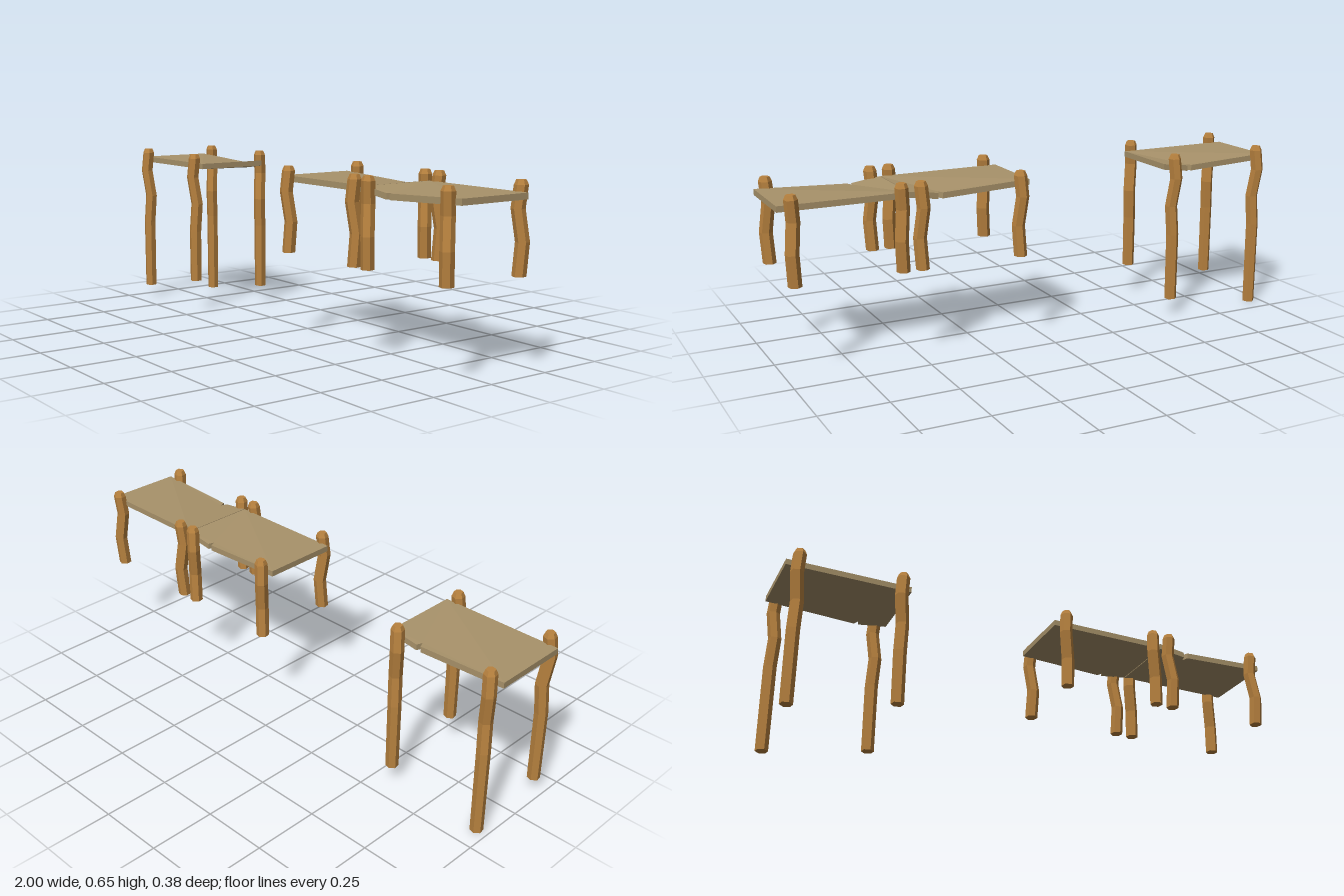
import * as THREE from 'three';

const legMat = new THREE.MeshStandardMaterial({ color: 0xb8823f, flatShading: true });
const deckMat = new THREE.MeshStandardMaterial({ color: 0xa8926a, flatShading: true });

// Six-sided post: rings of [height, radius, sideways bend], flat at both ends
function makeLeg(bottom, bendZ) {
  const rings = [
    [0.65, 0.017, 0],
    [0.633, 0.0245, 0],
    [0.555, 0.0245, 0.006],
    [0.445, 0.0245, -0.006],
    [0.33, 0.0245, 0],
  ];
  if (bottom < 0.33) rings.push([bottom, 0.0235, 0]);
  const n = rings.length - 1;
  const geo = new THREE.CylinderGeometry(1, 1, 1, 6, n);
  geo.rotateY(0.2);
  const p = geo.attributes.position;
  for (let i = 0; i < p.count; i++) {
    const [y, r, bend] = rings[Math.round((0.5 - p.getY(i)) * n)];
    p.setXYZ(i, p.getX(i) * r - bend, y, p.getZ(i) * r + bend * bendZ);
  }
  geo.computeVertexNormals();
  return new THREE.Mesh(geo, legMat);
}

// Thin plank with a small notch in its back edge, sagging at the notch
function makeDeck() {
  const notchX = 0.118;
  const outline = [
    [-0.235, -0.146], [notchX - 0.01, -0.146], [notchX, -0.123], [notchX + 0.007, -0.146],
    [0.235, -0.146], [0.235, 0.146], [-0.235, 0.146],
  ];
  const shape = new THREE.Shape(outline.map(([x, z]) => new THREE.Vector2(x, z)));
  const geo = new THREE.ExtrudeGeometry(shape, { depth: 0.022, bevelEnabled: false });
  geo.rotateX(Math.PI / 2).translate(0, 0.612, 0);
  const p = geo.attributes.position;
  for (let i = 0; i < p.count; i++) {
    if (Math.abs(p.getX(i) - notchX) < 0.02 && p.getZ(i) < -0.1) p.setY(i, p.getY(i) - 0.015);
  }
  geo.computeVertexNormals();
  const deck = new THREE.Mesh(geo, deckMat);
  deck.name = 'deck';
  return deck;
}

// One platform section; bottoms are leg ends: front -x, front +x, back -x, back +x
function makeSection(name, x, bottoms, turned) {
  const section = new THREE.Group();
  section.name = name;
  section.position.x = x;
  const deck = makeDeck();
  if (turned) deck.rotation.y = Math.PI;
  section.add(deck);
  const legX = turned ? [-0.203, 0.189] : [-0.191, 0.197];
  [1, -1].forEach((side, row) => legX.forEach((lx, col) => {
    const leg = makeLeg(bottoms[row * 2 + col], turned ? -side : side);
    leg.name = (side > 0 ? 'front' : 'back') + (col ? 'Left' : 'Right') + 'Leg';
    leg.position.set(lx, 0, side * 0.161);
    section.add(leg);
  }));
  return section;
}

export function createModel() {
  const model = new THREE.Group();
  model.name = 'platformSections';
  const short = [0.33, 0.33, 0.33, 0.33];
  model.add(
    makeSection('tallSection', -0.765, [0.048, 0.124, 0, 0.067], false),
    makeSection('shortSection', 0.292, short, false),
    makeSection('turnedShortSection', 0.765, short, true),
  );
  return model;
}
